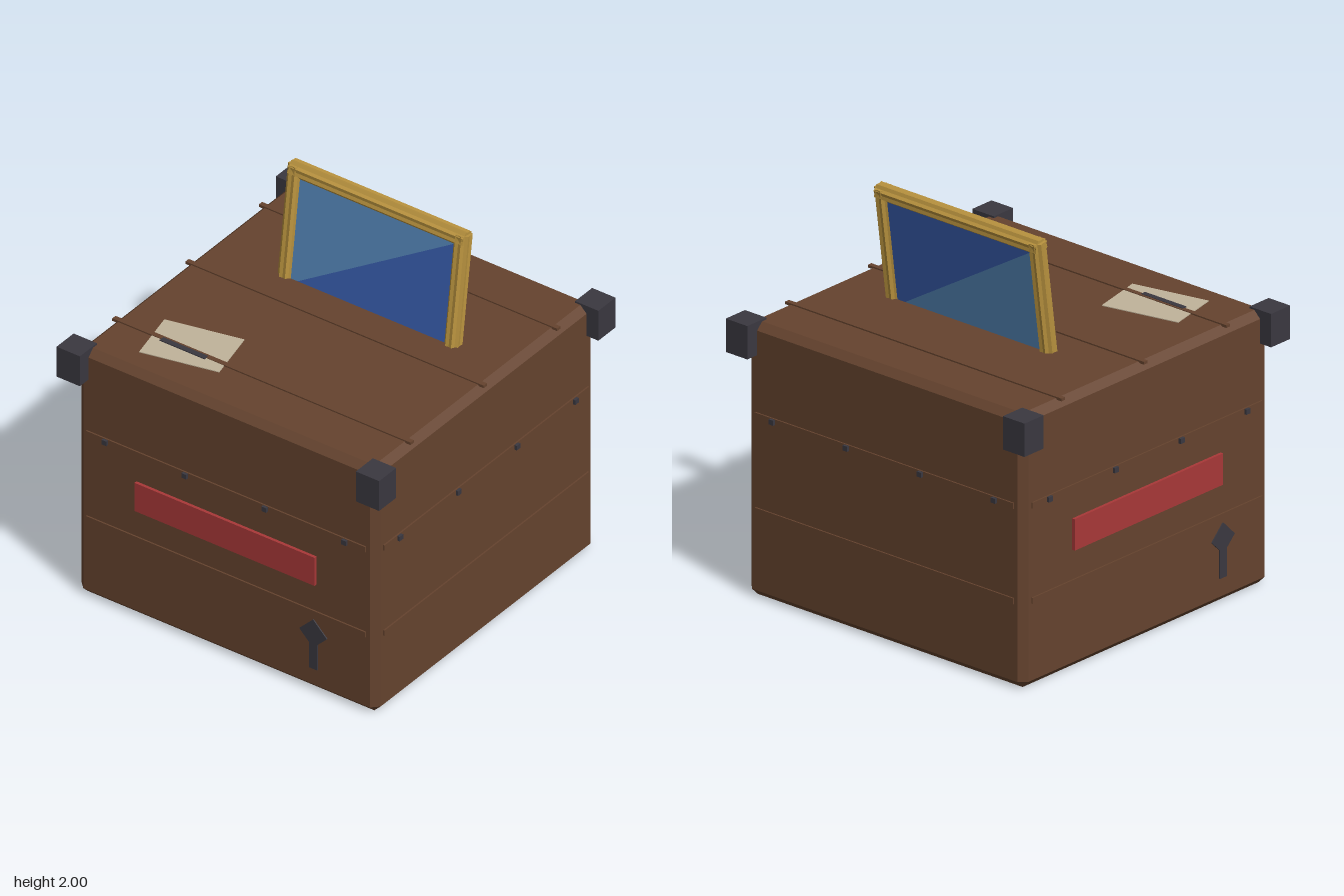
import * as THREE from 'three';
import { ConvexGeometry } from 'three/addons/geometries/ConvexGeometry.js';

const material = (name, color, extra = {}) => {
  const m = new THREE.MeshStandardMaterial({ color, ...extra });
  m.name = name;
  return m;
};

export function createModel() {
  const wood = material('brown wood', 0x65432e);
  const iron = material('dark iron', 0x3a3840);
  const red = material('red label', 0xa83838);
  const paper = material('paper', 0xc0b39a);
  const gold = material('gold', 0xb8923e);
  const lightBlue = material('light blue', 0x5587ba);
  const deepBlue = material('deep blue', 0x395eae);

  const model = new THREE.Group();
  model.name = 'crateWithPicture';

  const add = (parent, name, geometry, mat, x = 0, y = 0, z = 0) => {
    const mesh = new THREE.Mesh(geometry, mat);
    mesh.name = name;
    mesh.position.set(x, y, z);
    parent.add(mesh);
    return mesh;
  };
  const box = (parent, name, mat, size, x, y, z) =>
    add(parent, name, new THREE.BoxGeometry(...size), mat, x, y, z);

  // Crate body: a box with every edge chamfered
  const half = 0.867, h = 0.698, c = 0.036;
  const corners = [];
  for (const sx of [-1, 1]) for (const sy of [-1, 1]) for (const sz of [-1, 1]) {
    corners.push(
      new THREE.Vector3(sx * half, sy * (h - c), sz * (half - c)),
      new THREE.Vector3(sx * (half - c), sy * h, sz * (half - c)),
      new THREE.Vector3(sx * (half - c), sy * (h - c), sz * half));
  }
  add(model, 'crateBody', new ConvexGeometry(corners), wood, 0, h, 0);

  // Iron blocks on the four upper corners
  for (const sx of [-1, 1]) for (const sz of [-1, 1]) {
    box(model, 'cornerBlock', iron, [0.135, 0.17, 0.135], sx * 0.868, 1.32, sz * 0.868);
  }

  // Battens and nails on each side; labels and keys on the front and the right
  const keyShape = new THREE.Shape();
  [[-0.024, -0.2], [0.024, -0.2], [0.024, -0.056], [0.08, 0], [0, 0.08], [-0.08, 0], [-0.024, -0.056]]
    .forEach(([x, y], i) => (i ? keyShape.lineTo(x, y) : keyShape.moveTo(x, y)));
  const keyGeometry = new THREE.ExtrudeGeometry(keyShape, { depth: 0.006, bevelEnabled: false });

  for (let i = 0; i < 4; i++) {
    const side = new THREE.Group();
    side.name = ['frontSide', 'rightSide', 'backSide', 'leftSide'][i];
    side.rotation.y = -i * Math.PI / 2;
    model.add(side);
    for (const y of [0.929, 0.444]) box(side, 'batten', wood, [1.62, 0.03, 0.02], 0, y, 0.865);
    for (const x of [-0.695, -0.232, 0.232, 0.695]) {
      box(side, 'nail', iron, [0.028, 0.026, 0.016], x, 0.929, 0.881);
    }
    if (i < 2) {
      box(side, 'label', red, [1.045, 0.16, 0.016], 0, 0.69, 0.875);
      add(side, 'keyEmblem', keyGeometry, iron, 0.518, 0.34, 0.883);
    }
  }

  // Lid battens
  for (const z of [-0.583, -0.002, 0.578]) {
    box(model, 'lidBatten', wood, [1.73, 0.014, 0.026], 0, 1.396, z);
  }

  // Paper note under the front lid batten, with a dark line on it
  box(model, 'note', paper, [0.41, 0.004, 0.292], -0.435, 1.398, 0.548).rotation.y = 0.215;
  box(model, 'noteLine', iron, [0.26, 0.006, 0.028], -0.45, 1.402, 0.591);

  // Framed picture leaning back, its lower rail sunk into the lid
  const picture = new THREE.Group();
  picture.name = 'picture';
  picture.position.set(0.055, 1.4, -0.196);
  picture.rotation.x = -0.138;
  model.add(picture);

  // Rails with a fluted, eight-ridged section
  const rail = (name, length, x, y, horizontal) => {
    const section = new THREE.Shape();
    for (let k = 0; k < 16; k++) {
      const a = (k + 1) * Math.PI / 8;
      const r = k % 2 ? 0.037 : 0.0445;
      const px = r * Math.cos(a), py = r * Math.sin(a);
      if (k) section.lineTo(px, py); else section.moveTo(px, py);
    }
    const g = new THREE.ExtrudeGeometry(section, { depth: length, bevelEnabled: false });
    g.translate(0, 0, -length / 2);
    if (horizontal) g.rotateY(Math.PI / 2); else g.rotateX(Math.PI / 2);
    add(picture, name, g, gold, x, y, 0);
  };
  const top = 0.558, bottom = -0.07, mid = (top + bottom) / 2, railX = 0.482;
  for (const s of [-1, 1]) rail('sideRail', top - bottom + 0.05, s * railX, mid, false);
  rail('topRail', railX * 2 + 0.05, 0, top, true);
  rail('bottomRail', railX * 2 + 0.05, 0, bottom, true);

  // Two-tone pane on both faces, the back one turned over
  const w = railX - 0.03, ph = (top - bottom) / 2 - 0.035;
  const triangle = (...pts) => new THREE.ShapeGeometry(
    new THREE.Shape(pts.map(([x, y]) => new THREE.Vector2(x, y))));
  for (const turn of [0, Math.PI]) {
    const pane = new THREE.Group();
    pane.name = turn ? 'backPane' : 'frontPane';
    pane.position.y = mid;
    pane.rotation.x = turn;
    picture.add(pane);
    add(pane, 'paneUpper', triangle([-w, -ph], [w, ph], [-w, ph]), lightBlue, 0, 0, 0.02);
    add(pane, 'paneLower', triangle([-w, -ph], [w, -ph], [w, ph]), deepBlue, 0, 0, 0.02);
  }

  return model;
}
